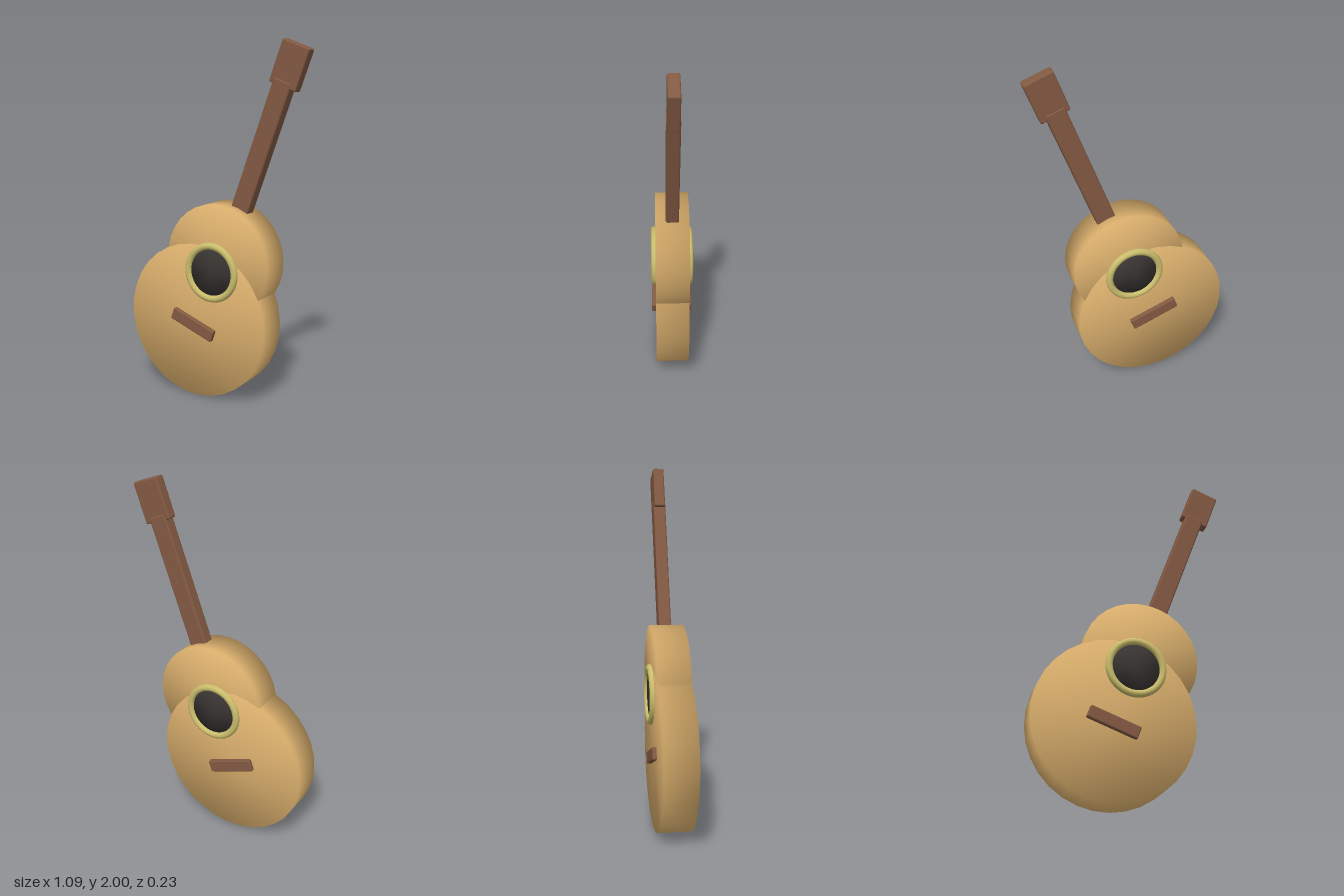
import * as THREE from 'three';
import { mergeVertices } from 'three/addons/utils/BufferGeometryUtils.js';
import { RoundedBoxGeometry } from 'three/addons/geometries/RoundedBoxGeometry.js';

const TILT = -0.35; // the whole instrument leans to its left

function material(name, color) {
  const m = new THREE.MeshStandardMaterial({ color });
  m.name = name;
  return m;
}

// Flat disc facing z, with normals shared across the rim for a soft look
function softDisc(radius, depth, segments) {
  let g = new THREE.CylinderGeometry(radius, radius, depth, segments);
  g.rotateX(Math.PI / 2);
  g.deleteAttribute('uv');
  g.deleteAttribute('normal');
  g = mergeVertices(g, 1e-4);
  g.computeVertexNormals();
  return g;
}

export function createModel() {
  const model = new THREE.Group();
  model.name = 'guitar';
  const paleWood = material('pale wood', 0xd9ae6c);
  const darkWood = material('dark wood', 0x835a43);
  const trim = material('yellow trim', 0xcabd6c);
  const black = material('sound hole black', 0x383432);

  function add(name, geometry, mat, x, y, z = 0) {
    const mesh = new THREE.Mesh(geometry, mat);
    mesh.name = name;
    mesh.position.set(x, y, z);
    mesh.rotation.z = TILT;
    model.add(mesh);
  }

  // Body: two overlapping discs
  add('lowerBody', softDisc(0.443, 0.184, 32), paleWood, -0.107, 0.444);
  add('upperBody', softDisc(0.322, 0.182, 32), paleWood, 0.03, 0.801);

  // Sound hole with a ring on both faces
  add('soundHole', softDisc(0.145, 0.2, 32), black, 0.003, 0.74);
  for (const [side, z] of [['front', 0.097], ['back', -0.097]]) {
    add(side + 'SoundHoleRing', new THREE.TorusGeometry(0.149, 0.02, 12, 40), trim, 0.003, 0.74, z);
  }

  // Bridge runs through the body and shows on both faces
  add('bridge', new RoundedBoxGeometry(0.287, 0.07, 0.232, 2, 0.008), darkWood, -0.117, 0.422);

  // Neck and head
  add('neck', new RoundedBoxGeometry(0.108, 0.9, 0.07, 2, 0.01), darkWood, 0.241, 1.367);
  add('head', new RoundedBoxGeometry(0.163, 0.23, 0.062, 2, 0.009), darkWood, 0.428, 1.865);

  return model;
}
